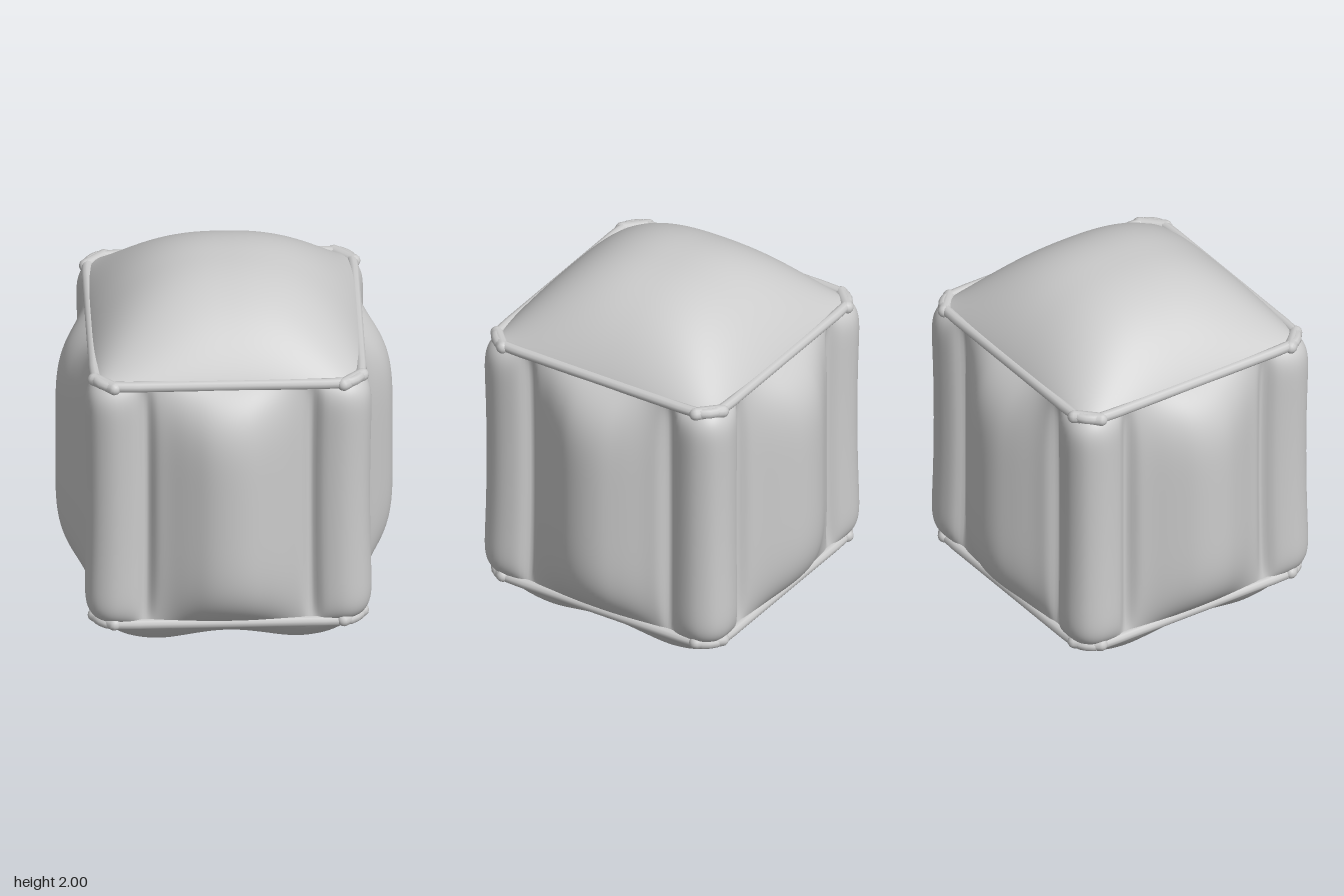
import * as THREE from 'three';
import { mergeVertices } from 'three/addons/utils/BufferGeometryUtils.js';

const material = new THREE.MeshStandardMaterial({ color: 0xcccccc, side: THREE.DoubleSide });

// Smooth surface from a rule: point(u, v) with u, v in 0..1, facing along u x v.
function surface(nu, nv, point) {
  const positions = [], index = [];
  for (let j = 0; j <= nv; j++) {
    for (let i = 0; i <= nu; i++) positions.push(...point(i / nu, j / nv));
  }
  for (let j = 0; j < nv; j++) {
    for (let i = 0; i < nu; i++) {
      const a = j * (nu + 1) + i, c = a + nu + 1;
      index.push(a, a + 1, c + 1, a, c + 1, c);
    }
  }
  let geometry = new THREE.BufferGeometry();
  geometry.setAttribute('position', new THREE.Float32BufferAttribute(positions, 3));
  geometry.setIndex(index);
  geometry = mergeVertices(geometry, 1e-5);
  geometry.computeVertexNormals();
  return geometry;
}

// Half of one side, from its middle to the corner: [x, z] pairs.
const padded = [[0, 0.872], [0.1, 0.857], [0.2, 0.81], [0.3, 0.752], [0.37, 0.715],
  [0.43, 0.672], [0.5, 0.728], [0.61, 0.748], [0.705, 0.705]];
const seamed = [[0, 0.69], [0.1, 0.69], [0.2, 0.69], [0.3, 0.69], [0.37, 0.69],
  [0.43, 0.69], [0.5, 0.69], [0.61, 0.682], [0.655, 0.655]];

// Closed plan outline: mirror the half side, then turn it four times.
function outline(half) {
  const points = [];
  for (let k = 0; k < 4; k++) {
    for (let i = -8; i < 8; i++) {
      const [x, z] = half[Math.abs(i)];
      points.push(new THREE.Vector3(i < 0 ? -x : x, 0, z)
        .applyAxisAngle(new THREE.Vector3(0, 1, 0), k * Math.PI / 2));
    }
  }
  return new THREE.CatmullRomCurve3(points, true, 'catmullrom', 0.5);
}

const fullCurve = outline(padded), seamCurve = outline(seamed);
const SEAM_LOW = 0.21, SEAM_HIGH = 1.61, HALF = 0.7;

// Four bulging panels and four corner posts, gathered in at both seams
function bodyGeometry() {
  return surface(256, 72, (u, v) => {
    const t = -Math.cos(v * Math.PI);           // rows crowd towards the seams
    const full = fullCurve.getPoint(u % 1), seam = seamCurve.getPoint(u % 1);
    const across = Math.abs(((u * 4) % 1) - 0.5) * 16;  // 0 at panel middle, 8 at corner
    const post = THREE.MathUtils.smoothstep(across, 3.8, 5.5);
    const puff = 1 - Math.pow(Math.abs(t), THREE.MathUtils.lerp(5.2, 14, post));
    const waist = 1 - 0.02 * post * (1 - t * t);
    const p = seam.lerp(full, puff);
    return [p.x * waist, (SEAM_LOW + SEAM_HIGH) / 2 + t * (SEAM_HIGH - SEAM_LOW) / 2, p.z * waist];
  });
}

// Square cushion with rounded corners; height(a, b) over a, b in -1..1
function cushionGeometry(direction, height) {
  return surface(64, 64, (u, v) => {
    const a = Math.sin((u - 0.5) * Math.PI), b = Math.sin((v - 0.5) * Math.PI);
    const r = HALF * (1 - 0.07 * Math.pow(a * b, 4));
    return [a * r, height(a, b), -direction * b * r];
  });
}

const dome = (a) => Math.pow(Math.max(0, 1 - Math.pow(Math.abs(a), 2.5)), 0.9);
const foot = (a) => (1 - Math.pow(a, 6)) *
  (0.72 + 0.32 * THREE.MathUtils.smoothstep(Math.abs(a), 0, 0.57));

const topHeight = (a, b) => 1.62 + 0.38 * dome(a) * dome(b);
const bottomHeight = (a, b) => {
  const dimple = 1 - THREE.MathUtils.smoothstep(Math.hypot(a, b) * HALF, 0.12, 0.36);
  return 0.2 - 0.198 * foot(a) * foot(b) + 0.07 * dimple;
};

export function createModel() {
  const group = new THREE.Group();
  const add = (name, geometry) => {
    const mesh = new THREE.Mesh(geometry, material);
    mesh.name = name;
    group.add(mesh);
    return mesh;
  };

  add('paddedSides', bodyGeometry());
  add('topCushion', cushionGeometry(1, topHeight));
  add('bottomCushion', cushionGeometry(-1, bottomHeight));

  // Piping along the upper and lower seams
  const piping = new THREE.TubeGeometry(seamCurve, 160, 0.028, 10, true);
  add('upperPiping', piping).position.y = SEAM_HIGH + 0.005;
  add('lowerPiping', piping).position.y = SEAM_LOW - 0.005;

  // Small gathered tucks where the piping turns each corner
  const tuck = new THREE.CapsuleGeometry(0.035, 0.14, 4, 12).rotateZ(Math.PI / 2);
  for (const y of [SEAM_LOW, SEAM_HIGH]) {
    for (let k = 0; k < 4; k++) {
      const angle = Math.PI / 4 + k * Math.PI / 2;
      const mesh = add('cornerTuck', tuck);
      mesh.position.set(Math.sin(angle) * 0.91, y, Math.cos(angle) * 0.91);
      mesh.rotation.y = angle;
    }
  }
  return group;
}
